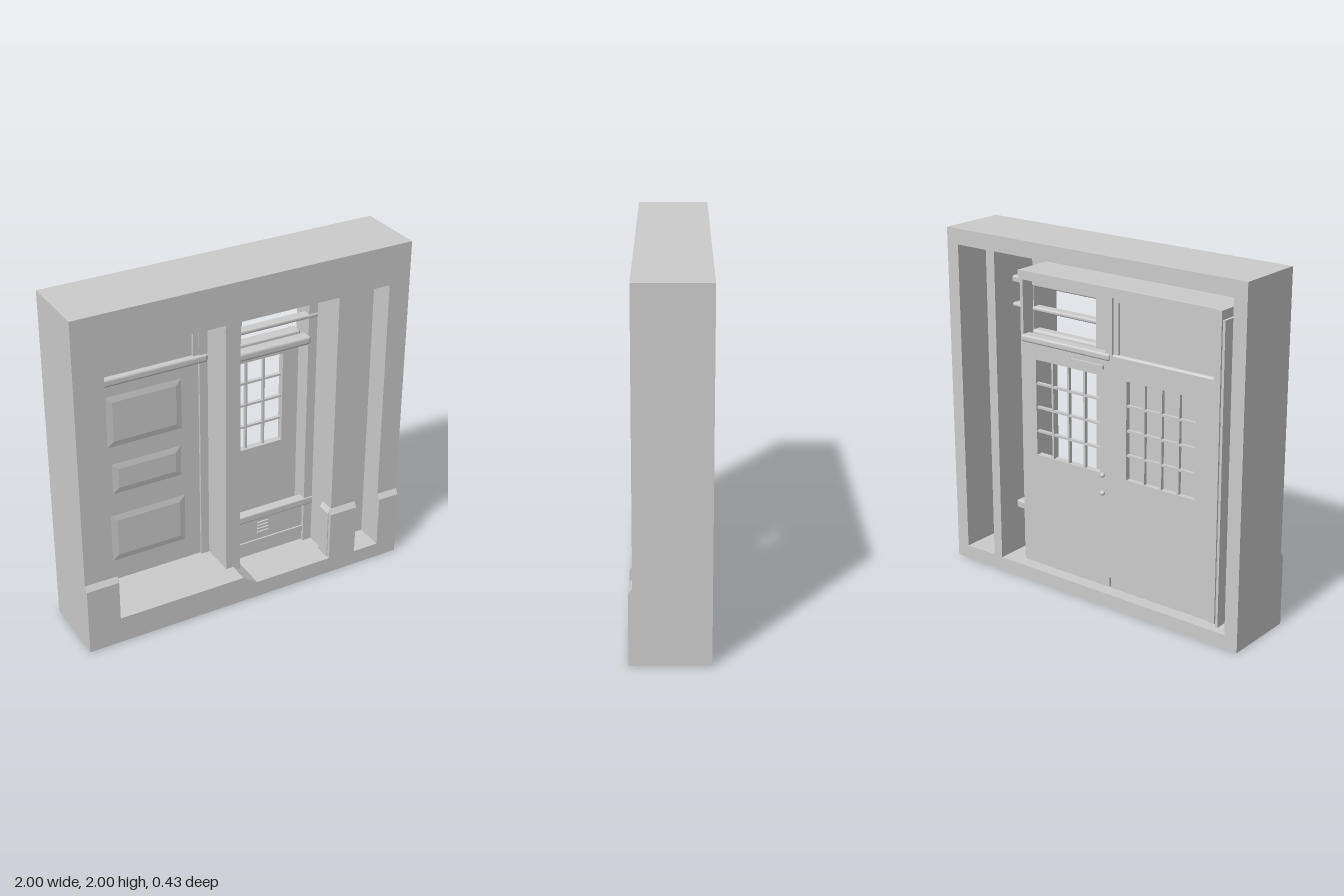
import * as THREE from 'three';
import { RoundedBoxGeometry } from 'three/addons/geometries/RoundedBoxGeometry.js';

const mat = new THREE.MeshStandardMaterial({ color: 0xcccccc, flatShading: true });

export function createModel() {
  const root = new THREE.Group();

  const add = (parent, name, geo) => {
    const m = new THREE.Mesh(geo, mat);
    m.name = name;
    parent.add(m);
    return m;
  };
  const group = (name) => {
    const g = new THREE.Group();
    g.name = name;
    root.add(g);
    return g;
  };
  // Box from its limits on each axis, with optional rounded edges
  const box = (parent, name, x0, x1, y0, y1, z0, z1, r = 0) => {
    const size = [x1 - x0, y1 - y0, z1 - z0];
    const m = add(parent, name, r ? new RoundedBoxGeometry(...size, 3, r) : new THREE.BoxGeometry(...size));
    m.position.set((x0 + x1) / 2, (y0 + y1) / 2, (z0 + z1) / 2);
    return m;
  };
  // Plate with polygonal holes, extruded from z0 to z1
  const poly = (pts, C = THREE.Shape) => new C(pts.map(p => new THREE.Vector2(...p)));
  const rect = (x0, x1, y0, y1) => [[x0, y0], [x1, y0], [x1, y1], [x0, y1]];
  const plate = (parent, name, outline, holes, z0, z1) => {
    const s = poly(outline);
    s.holes = holes.map(h => poly(h, THREE.Path));
    const geo = new THREE.ExtrudeGeometry(s, { depth: z1 - z0, bevelEnabled: false });
    geo.translate(0, 0, z0);
    return add(parent, name, geo);
  };
  // Pane that faces forward only
  const pane = (parent, name, x0, x1, y0, y1, z) => {
    const m = add(parent, name, new THREE.PlaneGeometry(x1 - x0, y1 - y0));
    m.position.set((x0 + x1) / 2, (y0 + y1) / 2, z);
  };
  // Reveal that faces -x only
  const reveal = (parent, x, y0, y1, z0, z1) => {
    const m = add(parent, 'reveal', new THREE.PlaneGeometry(z1 - z0, y1 - y0));
    m.rotation.y = -Math.PI / 2;
    m.position.set(x, (y0 + y1) / 2, (z0 + z1) / 2);
  };
  // Raised field with sloping edges
  const raised = (parent, x0, x1, y0, y1, z, h = 0.007, b = 0.035) => {
    const geo = new THREE.BoxGeometry(x1 - x0, y1 - y0, h);
    const p = geo.attributes.position;
    for (let i = 0; i < p.count; i++) if (p.getZ(i) > 0) {
      p.setX(i, p.getX(i) - Math.sign(p.getX(i)) * b);
      p.setY(i, p.getY(i) - Math.sign(p.getY(i)) * b);
    }
    geo.computeVertexNormals();
    add(parent, 'raisedPanel', geo).position.set((x0 + x1) / 2, (y0 + y1) / 2, z + h / 2);
  };

  // Wall: thin front plate with the two openings, hollow shell behind
  const wall = group('wall');
  const outer = rect(-1, 1, 0, 2);
  const doorway = [[-0.80, 0.16], [-0.04, 0.16], [0.05, 0.10], [0.53, 0.10], [0.53, 0.40], [0.55, 0.43],
    [0.55, 1.77], [-0.83, 1.77], [-0.83, 0.43], [-0.80, 0.40]];
  plate(wall, 'frontWall', outer, [doorway, rect(0.71, 0.87, 0.09, 1.77)], 0.1, 0.19);
  plate(wall, 'rearShell', outer, [rect(-0.92, 0.65, 0.08, 1.91), rect(0.71, 0.92, 0.08, 1.91)], -0.215, 0.1);

  // Plinth with a sloped top on each pier, low sills below the openings
  for (const [x0, x1] of [[-1, -0.81], [0.535, 0.71], [0.87, 1]]) {
    const s = poly([[0.19, 0], [0.212, 0], [0.212, 0.40], [0.19, 0.43]]);
    const geo = new THREE.ExtrudeGeometry(s, { depth: x1 - x0, bevelEnabled: false });
    geo.rotateY(-Math.PI / 2);
    geo.translate(x1, 0, 0);
    add(wall, 'plinth', geo);
  }
  const step = (y) => [[-0.81, y], [0.535, y], [0.535, 0.10], [0.05, 0.10], [-0.04, 0.16], [-0.81, 0.16]];
  plate(wall, 'doorSill', step(0), [], 0.19, 0.212);
  box(wall, 'sideSill', 0.71, 0.87, 0, 0.09, 0.19, 0.212);

  // Lining of the recess
  const lining = group('lining');
  box(lining, 'sideLining', -0.845, -0.83, 0.08, 1.77, -0.17, 0.1);
  plate(lining, 'liningFoot', [[-0.83, 0.08], [-0.80, 0.08], [-0.80, 0.40], [-0.83, 0.43]], [], -0.12, 0.1);
  plate(lining, 'floorStep', step(0.08), [], -0.13, 0.1);
  box(lining, 'headLining', -0.83, 0.52, 1.77, 1.82, -0.17, 0.1);
  reveal(lining, 0.55, 0.10, 1.77, -0.07, 0.1);
  reveal(lining, 0.87, 0.09, 1.77, 0.045, 0.1);

  // Post between the doors
  const post = group('centrePost');
  box(post, 'postShaft', -0.085, 0.005, 0.12, 1.77, -0.13, 0.09);
  box(post, 'postCap', -0.085, 0.01, 1.69, 1.74, -0.02, 0.095);

  // Bars of a window grid, four by four panes
  const bars = (parent, x0, x1, y0, y1) => {
    for (let i = 1; i < 4; i++) {
      const x = x0 + (x1 - x0) * i / 4, y = y0 + (y1 - y0) * i / 4;
      box(parent, 'glazingBar', x - 0.006, x + 0.006, y0, y1, -0.165, -0.145);
      box(parent, 'glazingBar', x0, x1, y - 0.006, y + 0.006, -0.165, -0.145);
    }
  };

  // Glazed door
  const glazed = group('glazedDoor');
  plate(glazed, 'doorLeaf', rect(-0.115, 0.50, 0.10, 1.45), [rect(-0.05, 0.40, 0.77, 1.33)], -0.17, -0.13);
  bars(glazed, -0.05, 0.40, 0.77, 1.33);
  box(glazed, 'doorCloser', -0.08, 0.14, 1.37, 1.39, -0.185, -0.17);
  box(glazed, 'doorCloser', 0.05, 0.13, 1.37, 1.39, -0.13, -0.10);
  for (const y of [0.66, 0.765]) {
    const knob = add(glazed, 'knob', new THREE.SphereGeometry(0.014, 12, 8));
    knob.position.set(-0.075, y, -0.18);
  }

  // Panelled door, with a blind window grid at the back
  const panelled = group('panelledDoor');
  plate(panelled, 'doorLeaf', rect(-0.79, -0.125, 0.10, 1.45), [rect(-0.68, -0.23, 0.77, 1.33)], -0.17, -0.14);
  box(panelled, 'doorSkin', -0.79, -0.125, 0.10, 1.45, -0.14, -0.13);
  bars(panelled, -0.68, -0.23, 0.77, 1.33);
  raised(panelled, -0.69, -0.24, 1.03, 1.34, -0.13);
  raised(panelled, -0.67, -0.25, 0.73, 0.92, -0.13);
  raised(panelled, -0.69, -0.23, 0.29, 0.59, -0.13);

  // Door frames and the closed transom over the panelled door
  const frame = group('doorFrame');
  box(frame, 'outerJamb', -0.83, -0.79, 0.10, 1.82, -0.18, -0.12);
  box(frame, 'innerJamb', -0.135, -0.085, 0.16, 1.82, -0.17, -0.115);
  box(frame, 'hingeJamb', 0.50, 0.52, 0.10, 1.82, -0.155, -0.06);
  box(frame, 'transomStile', -0.17, -0.135, 1.46, 1.77, -0.16, -0.12);
  box(frame, 'transomRail', -0.80, -0.085, 1.41, 1.46, -0.17, -0.105, 0.015);
  box(frame, 'transomTopRail', -0.79, -0.13, 1.745, 1.77, -0.16, -0.12);
  box(frame, 'transomPanel', -0.79, -0.13, 1.45, 1.77, -0.15, -0.135);
  box(frame, 'glazedTransomRail', -0.12, 0.50, 1.42, 1.46, -0.18, -0.11, 0.012);

  // Front screen before the glazed door
  const screen = group('screen');
  box(screen, 'screenStile', 0.005, 0.05, 0.10, 1.77, -0.07, -0.02);
  box(screen, 'screenStile', 0.495, 0.55, 0.10, 1.77, -0.07, -0.02);
  box(screen, 'screenHead', 0.02, 0.55, 1.745, 1.77, -0.07, -0.025);
  for (const [y0, y1] of [[1.71, 1.75], [1.57, 1.595], [0.35, 0.40]])
    box(screen, 'screenRail', 0.02, 0.65, y0, y1, -0.075, -0.015, 0.01);
  box(screen, 'screenMiddleRail', 0.01, 0.51, 1.41, 1.465, -0.08, -0.01, 0.018);
  box(screen, 'lowerPanel', 0.05, 0.50, 0.10, 0.35, -0.06, -0.04);
  box(screen, 'baseRail', 0.02, 0.53, 0.16, 0.20, -0.06, -0.03);
  for (let i = 0; i < 4; i++) box(screen, 'ventSlat', 0.19, 0.265, 0.24 + i * 0.022, 0.252 + i * 0.022, -0.04, -0.03);

  // Side light
  const side = group('sideLight');
  pane(side, 'sideStile', 0.80, 0.87, 0.09, 1.77, 0.045);
  pane(side, 'sideLowerPanel', 0.71, 0.80, 0.09, 0.40, 0.045);
  pane(side, 'sideTopRail', 0.71, 0.80, 1.71, 1.77, 0.045);
  pane(side, 'sideMiddleRail', 0.71, 0.81, 1.57, 1.595, 0.05);

  return root;
}
